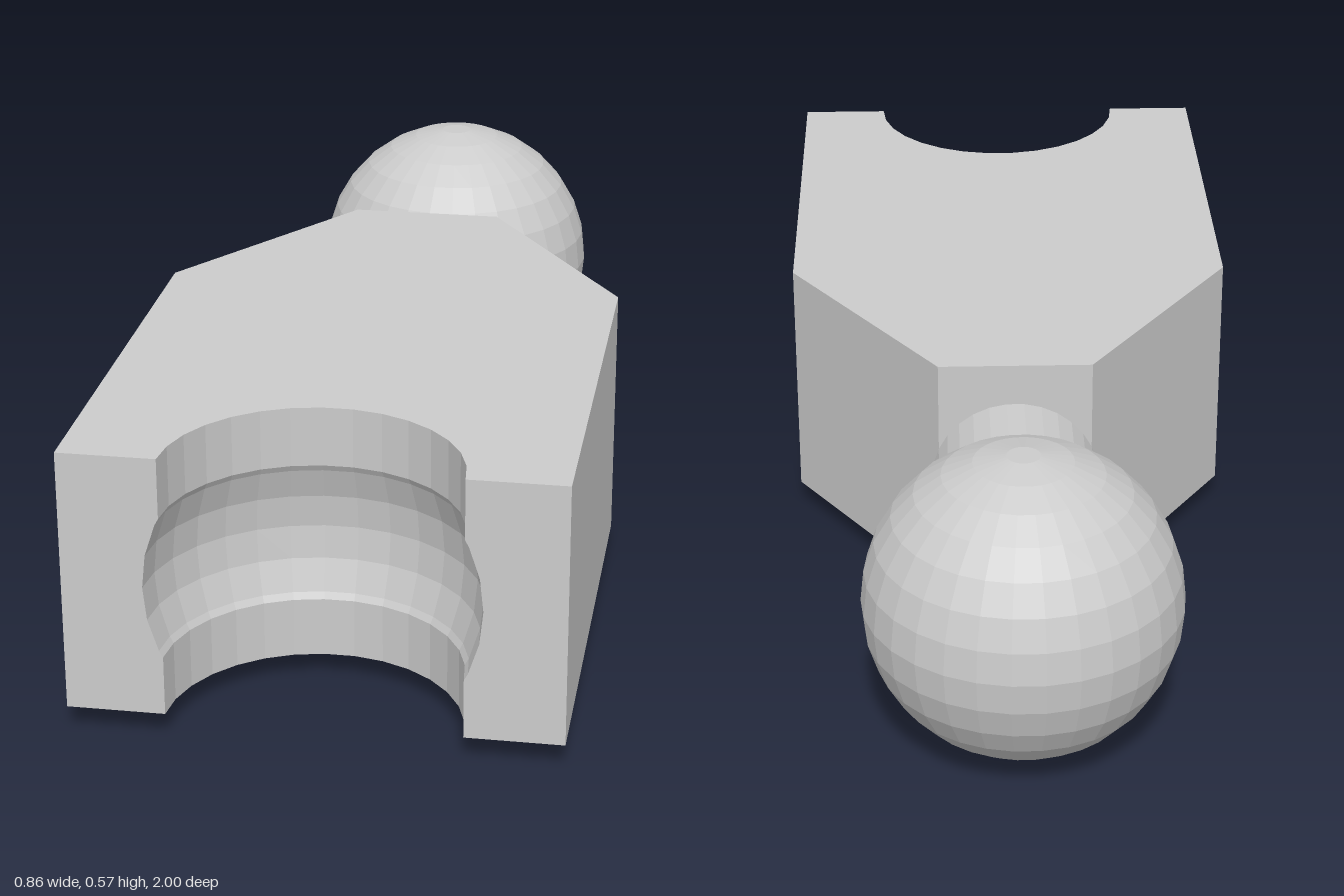
import * as THREE from 'three';

const material = new THREE.MeshStandardMaterial({ color: 0xcccccc, flatShading: true });
const SIDES = 30, STEP = Math.PI / 15;
const MID = 0.285, HALF = 0.2375;              // body mid height and half thickness
const BALL_R = 0.2857, BALL_Z = -0.716;
const SOCKET_R = 0.2875, MOUTH_R = 0.256;

function add(parent, name, geometry, x = 0, y = 0, z = 0) {
  const mesh = new THREE.Mesh(geometry, material);
  mesh.name = name;
  mesh.position.set(x, y, z);
  parent.add(mesh);
  return mesh;
}

export function createModel() {
  const model = new THREE.Group();
  model.name = 'ballAndSocketLink';
  const body = new THREE.Group();
  body.name = 'body';
  model.add(body);

  // Outer plan of the body as (x, z), from the left cheek round the back to the right cheek
  const plan = [[0.428, 1], [0.428, 0.138], [0.144, -0.285],
    [-0.144, -0.285], [-0.428, 0.138], [-0.428, 1]];

  // Side and back walls
  for (let i = 0; i < plan.length - 1; i++) {
    const [ax, az] = plan[i], [bx, bz] = plan[i + 1];
    const dx = bx - ax, dz = bz - az;
    const wall = add(body, 'wall', new THREE.PlaneGeometry(Math.hypot(dx, dz), 2 * HALF),
      (ax + bx) / 2, MID, (az + bz) / 2);
    wall.rotation.y = Math.atan2(-dz, dx);
  }

  // Top and bottom faces, with the round socket mouth cut into the front
  const mouth = [];
  for (let i = 0; i <= SIDES / 2; i++) {
    mouth.push([-MOUTH_R * Math.cos(i * STEP), 1 - MOUTH_R * Math.sin(i * STEP)]);
  }
  for (const s of [1, -1]) {
    const outline = [...plan, ...mouth].map(([x, z]) => new THREE.Vector2(x, -s * z));
    const face = new THREE.ShapeGeometry(new THREE.Shape(outline));
    face.rotateX(-s * Math.PI / 2);
    add(body, s > 0 ? 'topFace' : 'bottomFace', face, 0, MID + s * HALF, 0);
  }

  // Socket profile (radius, height): straight mouth with a faceted spherical bulge, top to bottom
  const profile = [[MOUTH_R, HALF], [MOUTH_R, 0.129]];
  for (let k = 2; k >= -2; k--) {
    profile.push([SOCKET_R * Math.cos(k * STEP), SOCKET_R * Math.sin(k * STEP)]);
  }
  profile.push([MOUTH_R, -0.129], [MOUTH_R, -HALF]);
  const points = profile.map(([r, y]) => new THREE.Vector2(r, y));
  add(body, 'socket', new THREE.LatheGeometry(points, SIDES / 2, Math.PI / 2, Math.PI), 0, MID, 1);

  // Front cheeks either side of the socket
  for (const s of [1, -1]) {
    const cheek = [...profile, [0.428, -HALF], [0.428, HALF]]
      .map(([x, y]) => new THREE.Vector2(s * x, y));
    add(body, s > 0 ? 'leftCheek' : 'rightCheek',
      new THREE.ShapeGeometry(new THREE.Shape(cheek)), 0, MID, 1);
  }

  // Neck, running from the back of the body into the ball
  const neck = new THREE.CylinderGeometry(0.158, 0.158, 0.265, SIDES, 1, false, Math.PI / 2);
  neck.rotateX(Math.PI / 2);
  add(model, 'neck', neck, 0, MID, -0.285 - 0.1325);

  // Ball with small flat poles: rings sit at half steps
  const rings = [new THREE.Vector2(0, -BALL_R * Math.cos(STEP / 2))];
  for (let i = 0; i < 15; i++) {
    const a = (i + 0.5) * STEP;
    rings.push(new THREE.Vector2(BALL_R * Math.sin(a), -BALL_R * Math.cos(a)));
  }
  rings.push(new THREE.Vector2(0, BALL_R * Math.cos(STEP / 2)));
  add(model, 'ball', new THREE.LatheGeometry(rings, SIDES, Math.PI / 2), 0, MID, BALL_Z);

  return model;
}
